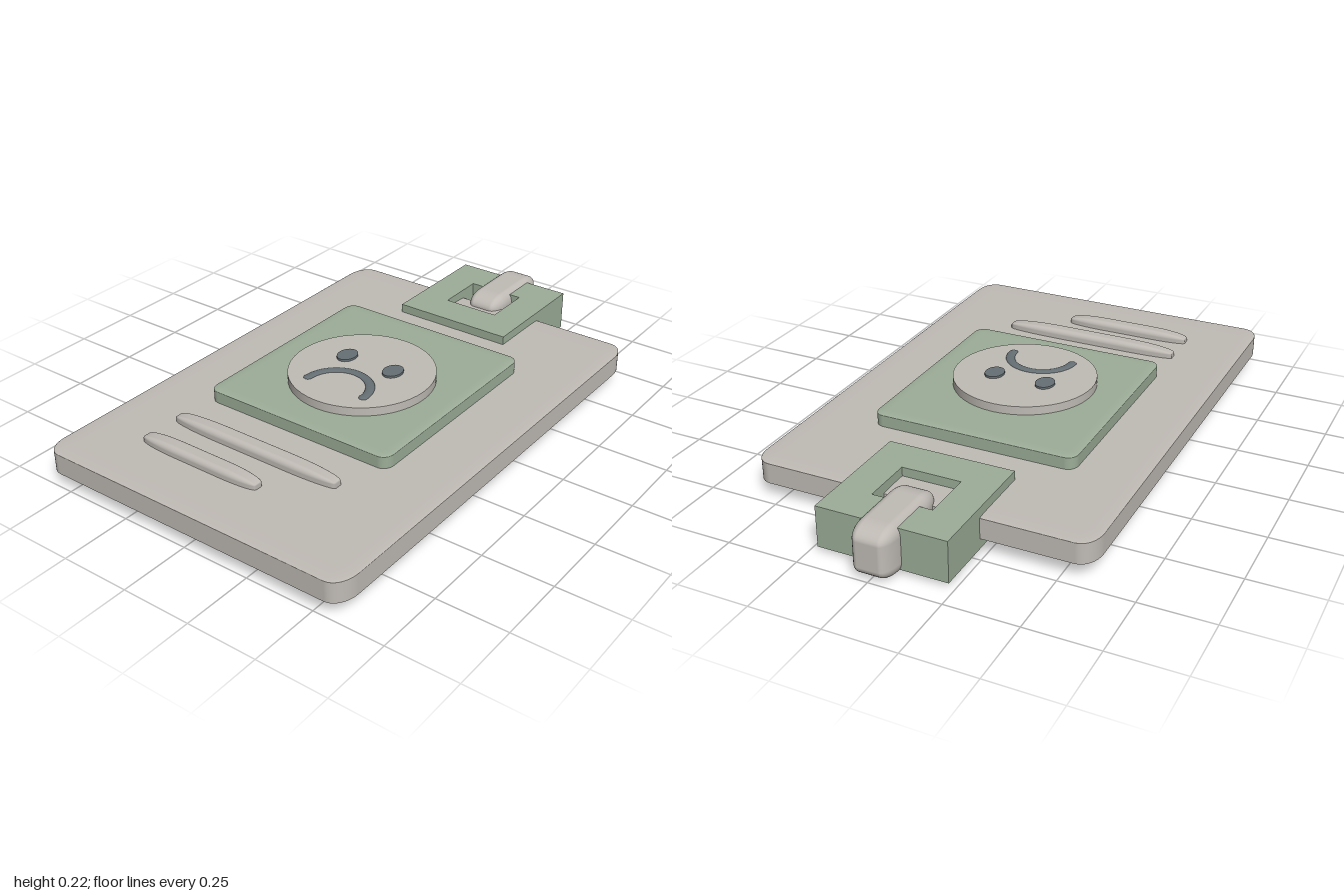
import * as THREE from 'three';
import { RoundedBoxGeometry } from 'three/addons/geometries/RoundedBoxGeometry.js';

export function createModel() {
  const model = new THREE.Group();
  model.name = 'badge';

  const material = (name, color) => {
    const m = new THREE.MeshStandardMaterial({ color });
    m.name = name;
    return m;
  };
  const stone = material('warm grey', 0xc0bbb5);
  const green = material('sage green', 0x9cad98);
  const slate = material('dark slate', 0x667074);

  const add = (name, geometry, mat) => {
    const mesh = new THREE.Mesh(geometry, mat);
    mesh.name = name;
    model.add(mesh);
    return mesh;
  };

  // A rounded unit cube stretched to fill the given ranges
  const softBox = (name, mat, radius, [x0, x1], [y0, y1], [z0, z1]) => {
    const mesh = add(name, new RoundedBoxGeometry(1, 1, 1, 5, radius), mat);
    mesh.scale.set(x1 - x0, y1 - y0, z1 - z0);
    mesh.position.set((x0 + x1) / 2, (y0 + y1) / 2, (z0 + z1) / 2);
    return mesh;
  };

  // Card, photo panel and the two raised lines
  softBox('card', stone, 0.05, [-1, 0.718], [0.049, 0.13], [-0.602, 0.6]);
  softBox('photoPanel', green, 0.05, [-0.46, 0.342], [0.07, 0.177], [-0.378, 0.367]);
  softBox('shortLine', stone, 0.3, [-0.797, -0.734], [0.1, 0.163], [-0.375, 0.105]);
  softBox('longLine', stone, 0.3, [-0.647, -0.584], [0.1, 0.165], [-0.375, 0.297]);

  // Face disc
  add('faceDisc', new THREE.CylinderGeometry(0.257, 0.257, 0.06, 48), stone)
    .position.set(-0.095, 0.178, 0);

  // Eyes
  for (const side of [-1, 1]) {
    const eye = add('eye', new THREE.CylinderGeometry(1, 1, 0.016, 24), slate);
    eye.scale.set(0.043, 1, 0.034);
    eye.position.set(-0.05, 0.208, side * 0.098);
  }

  // Curved mouth with rounded ends
  const mouth = new THREE.TorusGeometry(0.117, 0.017, 10, 32, Math.PI);
  mouth.rotateZ(-Math.PI / 2).rotateX(Math.PI / 2).scale(1, 0.4, 1);
  add('mouth', mouth, slate).position.set(-0.245, 0.207, 0);
  for (const side of [-1, 1]) {
    const end = add('mouthEnd', new THREE.SphereGeometry(0.017, 12, 8), slate);
    end.scale.y = 0.4;
    end.position.set(-0.245, 0.207, side * 0.117);
  }

  // Square clasp frame with a rectangular opening
  const rect = (Type, x0, x1, z0, z1) => new Type([
    new THREE.Vector2(x0, z0), new THREE.Vector2(x1, z0),
    new THREE.Vector2(x1, z1), new THREE.Vector2(x0, z1),
  ]);
  const frame = rect(THREE.Shape, 0.47, 0.92, -0.225, 0.23);
  frame.holes.push(rect(THREE.Path, 0.603, 0.787, -0.104, 0.108));
  const frameGeometry = new THREE.ExtrudeGeometry(frame, { depth: 0.146, bevelEnabled: false });
  frameGeometry.rotateX(-Math.PI / 2);
  add('claspFrame', frameGeometry, green).position.y = 0.016;

  // Strap loop gripping the outer bar of the frame
  softBox('strapLoop', stone, 0.25, [0.673, 1], [0, 0.176], [-0.072, 0.07]);

  return model;
}
